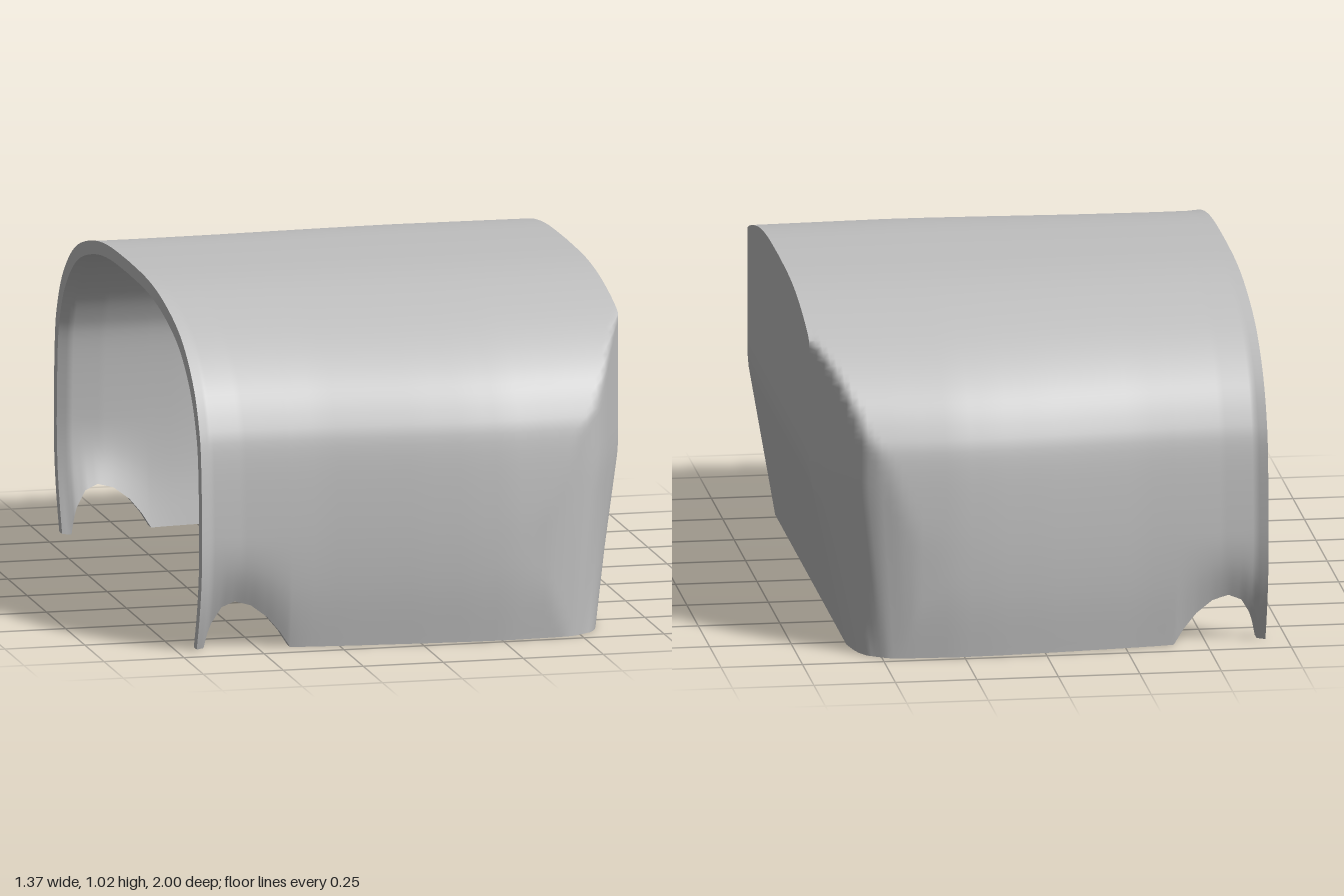
import * as THREE from 'three';

const X0 = -0.685, X1 = 0.685, HEIGHT = 1.025, WALL = 0.04, BEND = 0.4;

// Half of the arch section, from the bottom edge to the crown: x = half width, y = height
const arch = new THREE.SplineCurve([
  [0.98, 0], [0.998, 0.18], [1, 0.38], [0.985, 0.6], [0.955, 0.7], [0.89, 0.8], [0.78, 0.89],
  [0.65, 0.95], [0.45, 0.998], [0.25, 1.02], [0, HEIGHT],
].map(([z, y]) => new THREE.Vector2(z, y)));

// Plan curves: half width along x, the rounded corner at mid height and at the base, and the notch
const WIDTH = [[X0, 0.965], [-0.65, 0.948], [-0.55, 0.945], [-0.3, 0.957], [0, 0.985], [0.15, 0.996],
  [0.27, 1], [0.45, 0.99], [X1, 0.975]];
const CORNER = [[0.3, 1.0], [0.4, 0.994], [0.45, 0.985], [0.52, 0.96], [0.56, 0.935], [0.6, 0.87], [X1, 0.675]];
const BASE_CORNER = [[0.3, 1.0], [0.4, 0.985], [0.53, 0.96], [0.62, 0.92], [0.66, 0.87], [X1, 0.78]];
const NOTCH = [[-0.66, 0], [-0.645, 0.07], [-0.61, 0.13], [-0.57, 0.147], [-0.52, 0.133], [-0.47, 0.095],
  [-0.43, 0.047], [-0.4, 0]];

function lookup(table, x) {
  if (x <= table[0][0]) return table[0][1];
  for (let i = 1; i < table.length; i++) {
    const [xa, a] = table[i - 1], [xb, b] = table[i];
    if (x <= xb) return a + (b - a) * (x - xa) / (xb - xa);
  }
  return table[table.length - 1][1];
}

// Point on the shell: s runs over the arch (-1 front base, 0 crown, 1 back base), u along x
function shellPoint(s, u, inset) {
  const p = arch.getPoint(1 - Math.abs(s));
  let y = p.y * (1 - inset / HEIGHT);
  const end = X1 - 0.1 * Math.max(0, 1 - y / 0.52) - inset;
  const x = u > BEND ? BEND + (u - BEND) * (end - BEND) / (X1 - BEND) : u;
  const k = Math.min(1, y / 0.52);
  const corner = lookup(BASE_CORNER, u) * (1 - k) + lookup(CORNER, u) * k - inset;
  let z = Math.min(p.x * lookup(WIDTH, u) * (1 - inset), corner);
  // The wall lifts over the notch and tucks in around it
  const lift = lookup(NOTCH, u);
  if (y < 0.35) {
    y = lift + y * (1 - lift / 0.35);
    const low = 1 - y / 0.35;
    z -= 0.06 * low * low * Math.exp(-(((u + 0.62) / 0.17) ** 2));
  }
  return new THREE.Vector3(x, y, s < 0 ? z : -z);
}

// Surface through point(a, b) for every pair from two parameter lists
function grid(as, bs, point, flip = false) {
  const pos = [], index = [], n = bs.length;
  for (const a of as) for (const b of bs) pos.push(...point(a, b).toArray());
  for (let i = 0; i < as.length - 1; i++) {
    for (let j = 0; j < n - 1; j++) {
      const a = i * n + j, b = a + n, c = b + 1, d = a + 1;
      if (flip) index.push(a, c, b, a, d, c);
      else index.push(a, b, c, a, c, d);
    }
  }
  const geo = new THREE.BufferGeometry();
  geo.setAttribute('position', new THREE.Float32BufferAttribute(pos, 3));
  geo.setIndex(index);
  geo.computeVertexNormals();
  return geo;
}

const range = (a, b, n) => Array.from({ length: n + 1 }, (_, i) => a + (b - a) * i / n);

export function createModel() {
  const group = new THREE.Group();
  group.name = 'hood';
  const grey = new THREE.MeshStandardMaterial({ color: 0xc0c0c0, side: THREE.DoubleSide });
  grey.name = 'grey';

  const add = (name, geo) => {
    const mesh = new THREE.Mesh(geo, grey);
    mesh.name = name;
    group.add(mesh);
  };

  const along = [X0, -0.672, ...range(-0.66, -0.4, 26), ...range(-0.37, 0.38, 20), ...range(0.4, 0.56, 8),
    ...range(0.58, X1, 6)];
  const around = range(-1, 1, 96);
  const rows = range(-1, 0, 48);
  const across = range(-1, 1, 12);
  const skins = [0, WALL];

  // Curved skins and flat end wall, outside and inside
  for (const inset of skins) {
    const side = inset ? 'inner' : 'outer';
    add(`${side}Shell`, grid(along, around, (u, s) => shellPoint(s, u, inset), inset > 0));
    add(`${side}EndWall`, grid(rows, across, (s, f) => {
      const p = shellPoint(s, X1, inset);
      p.z *= f;
      return p;
    }, inset > 0));
  }

  // Edges joining the two skins
  add('openingRim', grid(around, skins, (s, inset) => shellPoint(s, X0, inset)));
  add('frontBaseRim', grid(along, skins, (u, inset) => shellPoint(-1, u, inset), true));
  add('backBaseRim', grid(along, skins, (u, inset) => shellPoint(1, u, inset)));
  add('endBaseRim', grid(across, skins, (f, inset) => {
    const p = shellPoint(-1, X1, inset);
    p.z *= f;
    return p;
  }));

  return group;
}
